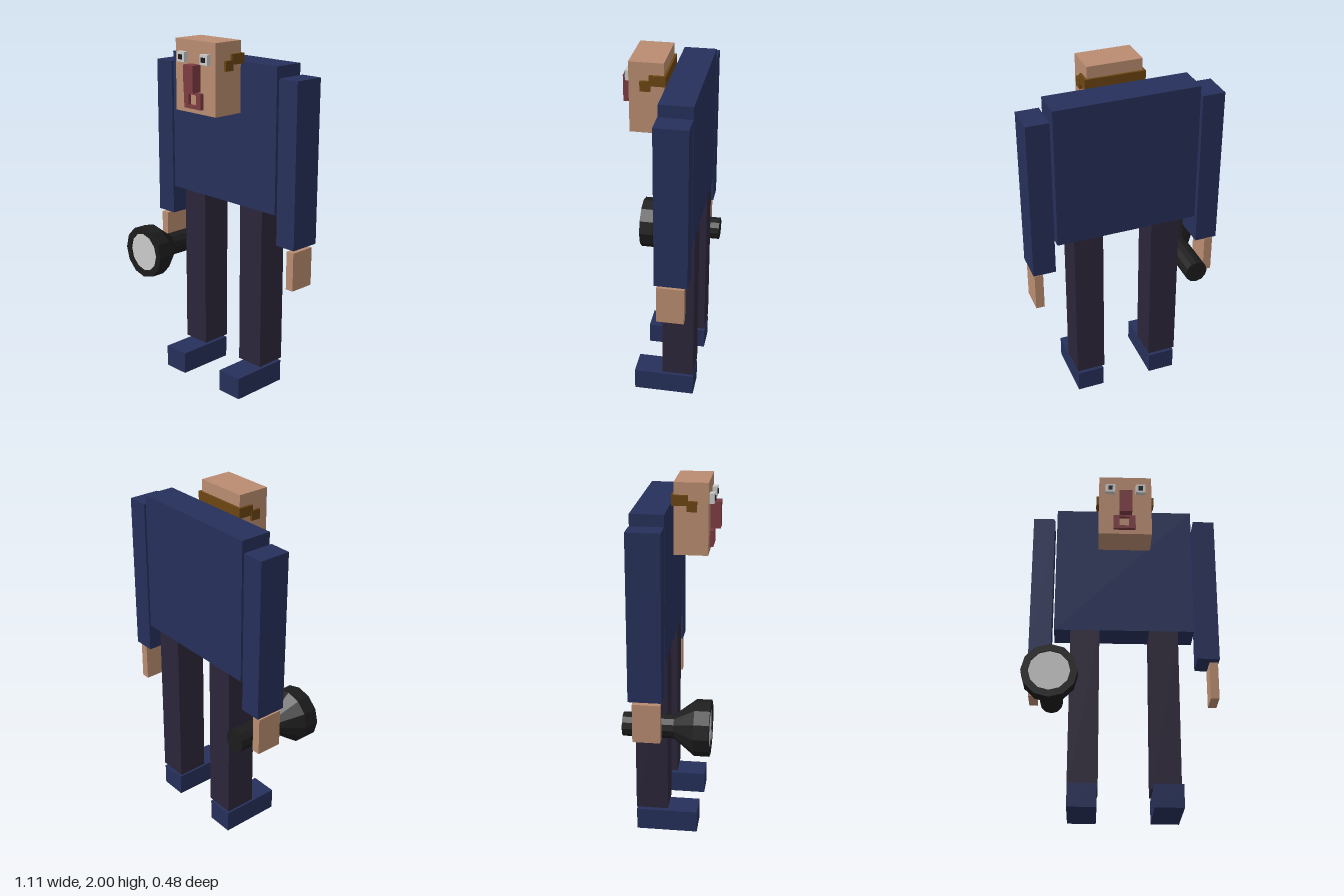
import * as THREE from 'three';

const mat = (color) => new THREE.MeshStandardMaterial({ color, flatShading: true });

export function createModel() {
  const model = new THREE.Group();
  const navy = mat(0x26305a), trousers = mat(0x2c263a), skin = mat(0xb98c70);
  const red = mat(0x7d3c42), brown = mat(0x6b4512), black = mat(0x1c1c1c);
  const grey = mat(0xcccccc);

  const add = (name, geometry, material) => {
    const mesh = new THREE.Mesh(geometry, material);
    mesh.name = name;
    model.add(mesh);
    return mesh;
  };
  // Box given by its extents on each axis
  const box = (name, material, [x0, x1], [y0, y1], [z0, z1]) => {
    const mesh = add(name, new THREE.BoxGeometry(x1 - x0, y1 - y0, z1 - z0), material);
    mesh.position.set((x0 + x1) / 2, (y0 + y1) / 2, (z0 + z1) / 2);
  };

  // Body and limbs, mirrored about the slightly offset body centre
  const cx = 0.01, depth = [-0.195, -0.015];
  box('torso', navy, [-0.394, 0.413], [1.083, 1.886], depth);
  for (const [side, s] of [['left', 1], ['right', -1]]) {
    const span = (centre, width) => [cx + s * centre - width / 2, cx + s * centre + width / 2];
    box(side + 'Arm', navy, span(0.482, 0.127), [0.914, 1.826], depth);
    box(side + 'Hand', skin, span(0.511, 0.049), [0.676, 0.895], [-0.175, -0.025]);
    box(side + 'Leg', trousers, span(0.226, 0.167), [0.146, 1.083], depth);
    box(side + 'Shoe', navy, span(0.227, 0.156), [0, 0.127], [-0.195, 0.152]);
    // Eyes with pupils
    box(side + 'Eye', grey, span(0.089, 0.056), [1.881, 1.936], [0.18, 0.212]);
    box(side + 'Pupil', black, span(0.089, 0.026), [1.895, 1.921], [0.2, 0.218]);
  }

  // Head, with hair wrapping the back and sides
  box('head', skin, [-0.145, 0.164], [1.61, 2], [0, 0.185]);
  box('hairBand', brown, [-0.159, 0.178], [1.878, 1.934], [-0.012, 0.077]);
  box('sideburns', brown, [-0.161, 0.18], [1.847, 1.902], [0.07, 0.125]);
  box('nose', red, [-0.026, 0.048], [1.73, 1.876], [0.18, 0.241]);

  // Open square mouth
  const rect = (P, x0, x1, y0, y1) => new P([
    new THREE.Vector2(x0, y0), new THREE.Vector2(x1, y0),
    new THREE.Vector2(x1, y1), new THREE.Vector2(x0, y1)]);
  const lips = rect(THREE.Shape, -0.06, 0.069, 1.637, 1.725);
  lips.holes.push(rect(THREE.Path, -0.026, 0.032, 1.656, 1.714));
  add('mouth', new THREE.ExtrudeGeometry(lips, { depth: 0.025, bevelEnabled: false }), red)
    .position.z = 0.18;

  // Torch held in the right hand, pointing forward
  const profile = [[0, -0.242], [0.066, -0.242], [0.066, 0.038], [0.154, 0.152],
    [0.154, 0.235], [0.114, 0.235], [0.114, 0.225]].map(([r, y]) => new THREE.Vector2(r, y));
  const torch = add('torchBody', new THREE.LatheGeometry(profile, 12).rotateX(Math.PI / 2), black);
  torch.position.set(-0.402, 0.723, 0);
  const lens = add('torchLens', new THREE.CircleGeometry(0.114, 12), grey);
  lens.position.set(-0.402, 0.723, 0.228);

  return model;
}
